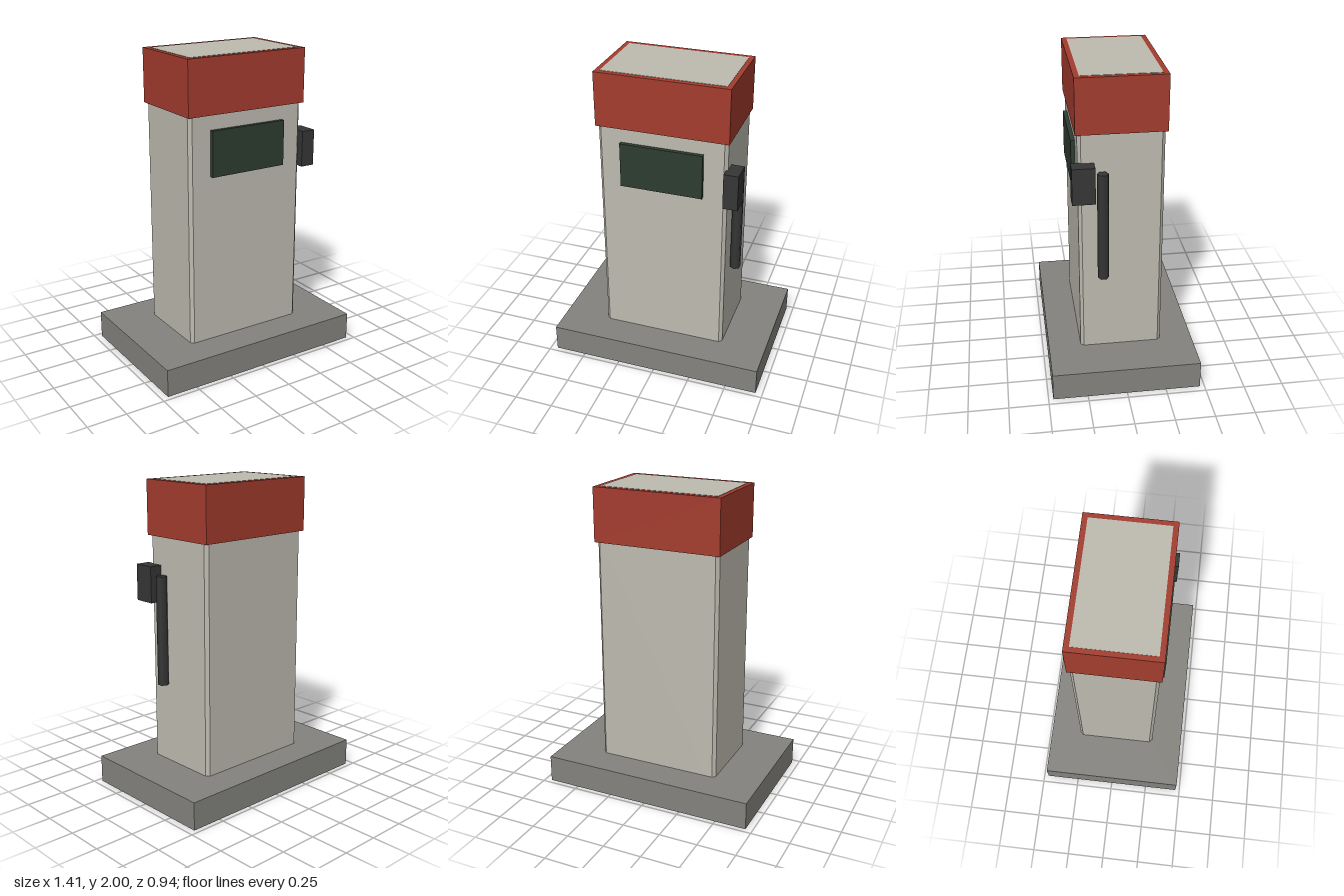
import * as THREE from 'three';

const mat = (name, color) => {
  const m = new THREE.MeshStandardMaterial({ color });
  m.name = name;
  return m;
};

export function createModel() {
  const pump = new THREE.Group();
  pump.name = 'fuelPump';

  const concrete = mat('concrete grey', 0x84837e);
  const cream = mat('warm off-white', 0xbebbb0);
  const red = mat('brick red', 0xa43c2e);
  const glass = mat('dark green', 0x2d3c30);
  const rubber = mat('charcoal', 0x363636);

  const add = (name, geometry, material, x = 0, y = 0, z = 0) => {
    const mesh = new THREE.Mesh(geometry, material);
    mesh.name = name;
    mesh.position.set(x, y, z);
    pump.add(mesh);
    return mesh;
  };
  const box = (name, material, [x0, x1], [y0, y1], [z0, z1]) =>
    add(name, new THREE.BoxGeometry(x1 - x0, y1 - y0, z1 - z0), material,
      (x0 + x1) / 2, (y0 + y1) / 2, (z0 + z1) / 2);

  // Plinth
  box('plinth', concrete, [-0.705, 0.705], [0, 0.18], [-0.47, 0.47]);

  // Cabinet with chamfered upright corners
  const w = 0.41, d = 0.262, c = 0.02;
  const plan = new THREE.Shape([
    [w, -d + c], [w, d - c], [w - c, d], [-w + c, d],
    [-w, d - c], [-w, -d + c], [-w + c, -d], [w - c, -d],
  ].map(([x, y]) => new THREE.Vector2(x, y)));
  const cabinet = new THREE.ExtrudeGeometry(plan, { depth: 1.6, bevelEnabled: false });
  cabinet.rotateX(-Math.PI / 2);
  add('cabinet', cabinet, cream, 0, 0.1, 0);

  // Red head with the pale top panel set into it
  box('head', red, [-0.421, 0.421], [1.652, 1.998], [-0.275, 0.275]);
  box('topPanel', cream, [-0.39, 0.39], [1.99, 2], [-0.242, 0.242]);

  // Display on the front
  box('display', glass, [-0.263, 0.263], [1.27, 1.56], [0.25, 0.288]);

  // Nozzle holder and hose on the left side
  box('nozzle', rubber, [0.398, 0.491], [1.24, 1.472], [0.165, 0.305]);
  add('hose', new THREE.CylinderGeometry(0.035, 0.035, 0.705, 6), rubber, 0.446, 1.0625, 0.117);

  return pump;
}
